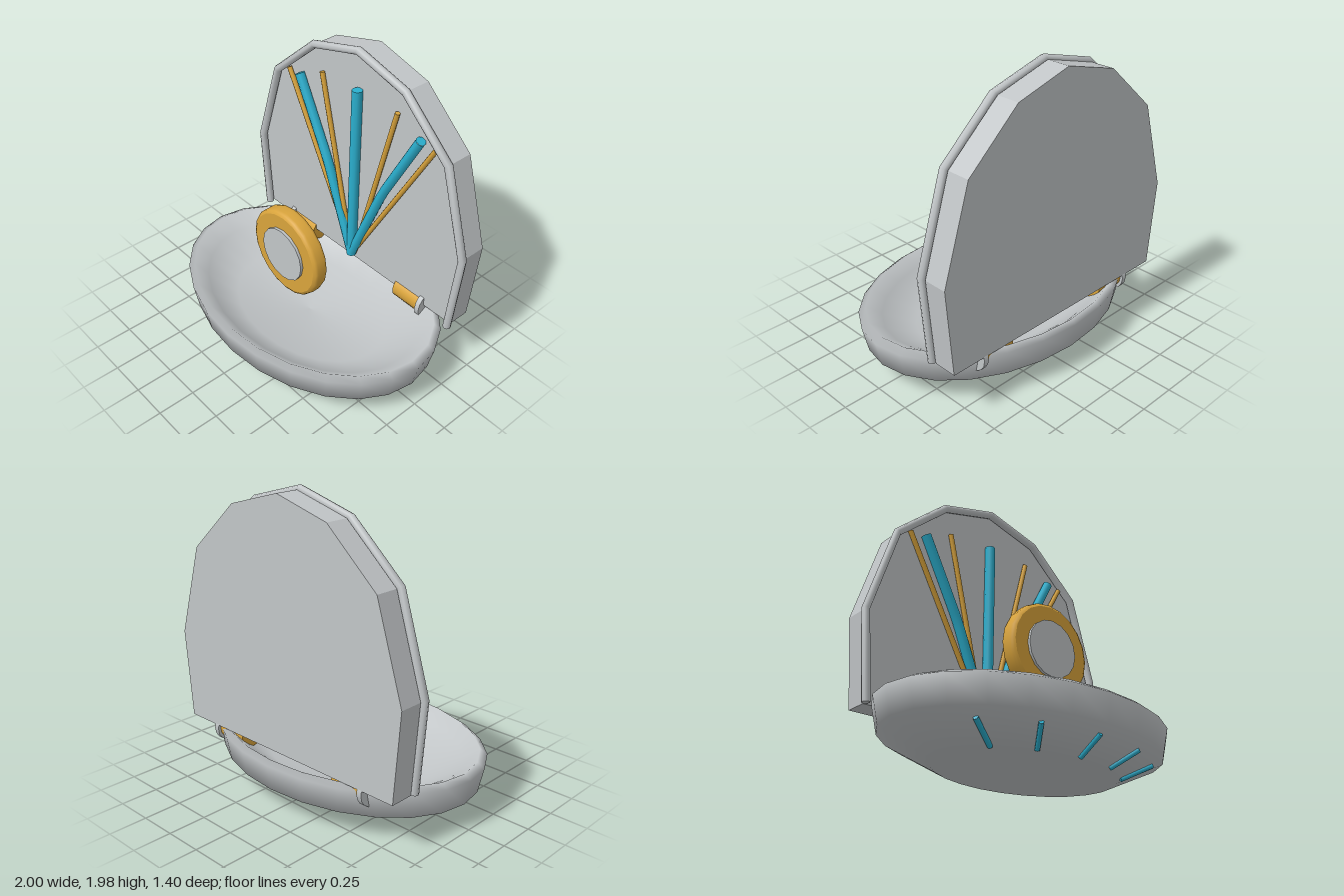
import * as THREE from 'three';
import { mergeGeometries } from 'three/addons/utils/BufferGeometryUtils.js';

const mat = (name, color, side = THREE.FrontSide) => {
  const m = new THREE.MeshStandardMaterial({ color, side });
  m.name = name;
  return m;
};
const V = (x, y, z) => new THREE.Vector3(x, y, z);

// Polyline whose vertices are hit exactly by the tube rings
class Polyline extends THREE.Curve {
  constructor(points) { super(); this.points = points; }
  getPoint(t, target = new THREE.Vector3()) {
    const n = this.points.length - 1;
    const i = Math.min(Math.floor(t * n + 1e-9), n - 1);
    return target.lerpVectors(this.points[i], this.points[i + 1], t * n - i);
  }
  getPointAt(t, target) { return this.getPoint(t, target); }
  getTangentAt(t, target) { return this.getTangent(t, target); }
}

// Bar along a polyline with flat end caps
function bar(points, radius, sides) {
  const n = points.length - 1;
  const parts = [new THREE.TubeGeometry(new Polyline(points), n, radius, sides)];
  for (const [end, next] of [[points[0], points[1]], [points[n], points[n - 1]]]) {
    const cap = new THREE.CircleGeometry(radius, sides);
    const dir = end.clone().sub(next).normalize();
    cap.applyQuaternion(new THREE.Quaternion().setFromUnitVectors(V(0, 0, 1), dir));
    cap.translate(end.x, end.y, end.z);
    parts.push(cap);
  }
  return mergeGeometries(parts);
}

export function createModel() {
  const model = new THREE.Group();
  model.name = 'openCompact';
  const silver = mat('silver', 0xc2c6c8);
  const shellSilver = silver;
  const gold = mat('gold', 0xd9a43c);
  const blue = mat('blue', 0x2bb0cf);
  const add = (name, geometry, material) => {
    const mesh = new THREE.Mesh(geometry, material);
    mesh.name = name;
    model.add(mesh);
    return mesh;
  };

  // Oval base bowl: outer wall, rim and shallow inside
  const profile = [
    [0, 0.012], [0.62, 0.012], [0.96, 0.16], [1, 0.33], [0.95, 0.357],
    [0.84, 0.28], [0.6, 0.15], [0, 0.11],
  ].map(([x, y]) => new THREE.Vector2(x, y));
  const bowl = new THREE.LatheGeometry(profile, 24);
  bowl.scale(1, 1, 0.7);
  add('baseBowl', bowl, shellSilver);

  // Blue ribs under the front of the base
  for (const a of [-0.9, -0.45, 0, 0.45, 0.9]) {
    const at = (r, y) => V(r * Math.sin(a), y, 0.7 * r * Math.cos(a));
    add('baseRib', bar([at(0.64, 0.018), at(0.87, 0.115)], 0.016, 6), blue);
  }

  // Upright lid with a faceted arch outline
  const half = [[0.885, 0.355], [0.937, 0.935], [0.755, 1.53], [0.392, 1.853]];
  const outline = [...half, [0, 1.96], ...half.slice().reverse().map(([x, y]) => [-x, y])];
  const lid = new THREE.ExtrudeGeometry(
    new THREE.Shape(outline.map(([x, y]) => new THREE.Vector2(x, y))),
    { depth: 0.156, bevelEnabled: false });
  lid.translate(0, 0, -0.568);
  add('lid', lid, silver);
  add('lidRim', bar(outline.map(([x, y]) => V(x, y, -0.381)), 0.027, 8), silver);

  // Fan of rays on the lid
  const ray = (name, pts, z, r, material) =>
    add(name, bar(pts.map(([x, y]) => V(x, y, z)), r, 8), material);
  ray('centerRay', [[0, 0.4], [0, 1.695]], -0.381, 0.035, blue);
  for (const s of [1, -1]) {
    ray('blueRay', [[0, 0.41], [s * 0.235, 1.0], [s * 0.28, 1.1], [s * 0.535, 1.59]], -0.381, 0.033, blue);
    ray('innerGoldRay', [[s * 0.02, 0.42], [s * 0.33, 1.68]], -0.392, 0.017, gold);
    ray('outerGoldRay', [[s * 0.01, 0.42], [s * 0.65, 1.585]], -0.392, 0.017, gold);
  }

  // Round medallion: bevelled gold disc with a silver centre
  const discProfile = [[0, 0], [0.28, 0], [0.28, 0], [0.298, 0.01], [0.304, 0.028],
    [0.304, 0.08], [0.298, 0.097], [0.28, 0.107], [0.28, 0.107], [0, 0.107]]
    .map(([x, y]) => new THREE.Vector2(x, y));
  const disc = new THREE.LatheGeometry(discProfile, 20);
  disc.rotateX(Math.PI / 2);
  disc.translate(0, 0.737, 0.115);
  add('medallion', disc, gold);
  const centre = new THREE.CylinderGeometry(0.185, 0.185, 0.06, 16);
  centre.rotateX(Math.PI / 2);
  centre.translate(0, 0.737, 0.21);
  add('medallionCentre', centre, silver);

  // Hinge barrels with end caps
  const hingePart = (name, x0, x1, r, s, material) => {
    const g = new THREE.CylinderGeometry(r, r, x1 - x0, 16);
    g.rotateZ(Math.PI / 2);
    g.translate(s * (x0 + x1) / 2, 0.33, -0.469);
    add(name, g, material);
  };
  for (const s of [1, -1]) {
    hingePart('hingeBarrel', 0.4, 0.62, 0.085, s, gold);
    hingePart('hingeCap', 0.62, 0.655, 0.105, s, silver);
  }
  return model;
}
